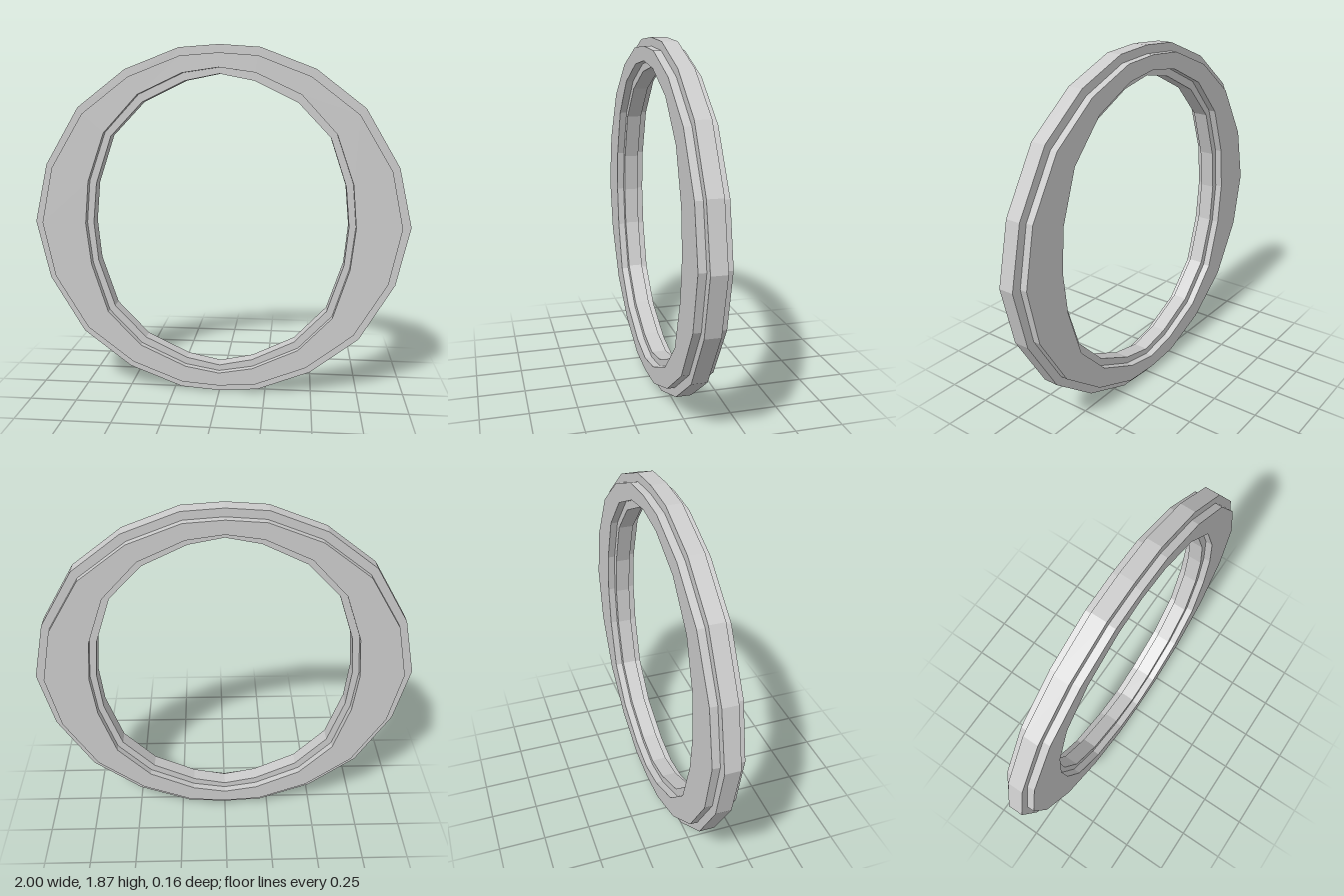
import * as THREE from 'three';

const CENTRE = 0.933;

// Closed clockwise outline from its right half, listed top to bottom, mirrored to the left
function outline(half) {
  const left = half.slice(1, -1).reverse().map(([x, y]) => [-x, y]);
  return [...half, ...left].map(([x, y]) => new THREE.Vector2(x, y));
}

// Right half of an outline that is also symmetric about the centre height
function symmetricHalf(quarter) {
  const upper = quarter.map(([x, dy]) => [x, CENTRE + dy]);
  const lower = quarter.slice(0, -1).reverse().map(([x, dy]) => [x, CENTRE - dy]);
  return [...upper, ...lower];
}

// Flat faceted ring of the given depth, centred on z = 0
function ring(name, outer, inner, depth) {
  const shape = new THREE.Shape(outline(outer));
  // The hole runs the opposite way so that its walls face the opening
  shape.holes.push(new THREE.Path(outline(inner).reverse()));
  const geometry = new THREE.ExtrudeGeometry(shape, { depth, bevelEnabled: false });
  geometry.translate(0, 0, -depth / 2);
  const material = new THREE.MeshStandardMaterial({ color: 0xcccccc, flatShading: true });
  const mesh = new THREE.Mesh(geometry, material);
  mesh.name = name;
  return mesh;
}

export function createModel() {
  const group = new THREE.Group();
  group.name = 'steppedRing';

  // Thin core, protruding past the body on its rim and in its opening
  group.add(ring('coreRing',
    symmetricHalf([[0, 0.933], [0.21, 0.918], [0.495, 0.808], [0.75, 0.612], [0.93, 0.31], [1, 0]]),
    [[0, 1.718], [0.178, 1.683], [0.405, 1.573], [0.575, 1.395], [0.66, 1.143], [0.68, 0.932],
      [0.66, 0.725], [0.575, 0.47], [0.405, 0.293], [0.178, 0.184], [0, 0.147]],
    0.08));

  // Thicker body between the two steps
  group.add(ring('bodyRing',
    symmetricHalf([[0, 0.89], [0.2, 0.875], [0.47, 0.77], [0.718, 0.58], [0.89, 0.295], [0.952, 0]]),
    [[0, 1.75], [0.187, 1.723], [0.422, 1.613], [0.605, 1.415], [0.695, 1.158], [0.715, 0.932],
      [0.69, 0.71], [0.605, 0.445], [0.427, 0.26], [0.182, 0.147], [0, 0.115]],
    0.157));

  return group;
}
